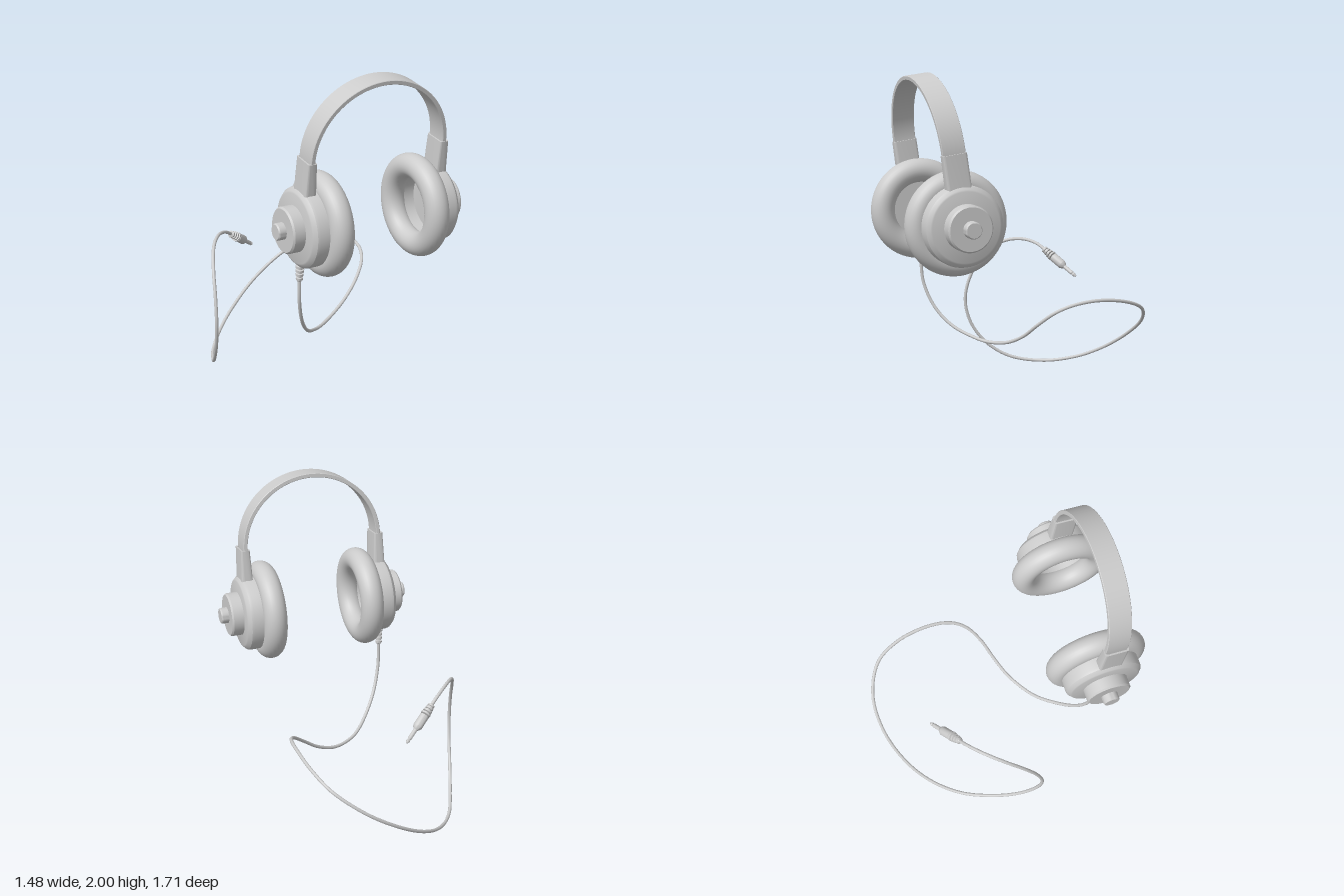
import * as THREE from 'three';
import { toCreasedNormals } from 'three/addons/utils/BufferGeometryUtils.js';

const material = new THREE.MeshStandardMaterial({ color: 0xcccccc });

function part(name, geometry, parent, crease = 0.5) {
  const mesh = new THREE.Mesh(crease ? toCreasedNormals(geometry, crease) : geometry, material);
  mesh.name = name;
  parent.add(mesh);
  return mesh;
}

const lathe = (points, segments = 48) =>
  new THREE.LatheGeometry(points.map(([r, y]) => new THREE.Vector2(r, y)), segments);

function roundedRect(target, w, h, r) {
  const x = w / 2, y = h / 2;
  target.moveTo(-x + r, -y).lineTo(x - r, -y).quadraticCurveTo(x, -y, x, -y + r)
    .lineTo(x, y - r).quadraticCurveTo(x, y, x - r, y)
    .lineTo(-x + r, y).quadraticCurveTo(-x, y, -x, y - r)
    .lineTo(-x, -y + r).quadraticCurveTo(-x, -y, -x + r, -y);
  return target;
}

// One ear cup, its axis pointing outwards along +x
function earCup(name) {
  const cup = new THREE.Group();
  cup.name = name;

  // Shell with a recess on the ear side and a bevelled outer rim
  part('cupShell', lathe([
    [0, 0.43], [0.18, 0.43], [0.18, 0.36], [0.236, 0.36], [0.238, 0.45],
    [0.234, 0.466], [0.215, 0.486], [0.205, 0.49], [0, 0.49],
  ], 64), cup).rotation.z = -Math.PI / 2;
  part('outerDisc', lathe([
    [0, 0.48], [0.136, 0.48], [0.136, 0.555], [0.127, 0.565], [0, 0.565],
  ]), cup).rotation.z = -Math.PI / 2;
  part('knob', lathe([
    [0, 0.55], [0.05, 0.55], [0.05, 0.604], [0.044, 0.612], [0, 0.612],
  ], 32), cup).rotation.z = -Math.PI / 2;

  // Soft ring cushion
  const pad = part('earPad', new THREE.TorusGeometry(0.238, 0.073, 28, 72), cup, 0);
  pad.rotation.y = Math.PI / 2;
  pad.position.x = 0.318;

  // Hollow sleeve that holds the band, flaring slightly towards the cup
  const outline = roundedRect(new THREE.Shape(), 0.056, 0.148, 0.016);
  outline.holes.push(roundedRect(new THREE.Path(), 0.036, 0.128, 0.01));
  const sleeve = new THREE.ExtrudeGeometry(outline, { depth: 0.24, bevelEnabled: false, curveSegments: 6 });
  const p = sleeve.attributes.position;
  for (let i = 0; i < p.count; i++) {
    const t = 1 - p.getZ(i) / 0.24;
    p.setX(i, p.getX(i) * (1 + 0.35 * t));
  }
  sleeve.rotateX(-Math.PI / 2);
  part('bandSleeve', sleeve, cup).position.set(0.436, 0.178, 0);
  return cup;
}

export function createModel() {
  const model = new THREE.Group();
  model.name = 'headphones';

  // Headset, turned and leaning forward
  const headset = new THREE.Group();
  headset.name = 'headset';
  headset.position.set(0.1425, 1.148, 0.46);
  headset.rotation.set(0.132, 0.288, 0, 'YXZ');
  model.add(headset);

  const leftCup = earCup('leftEarCup');
  const rightCup = earCup('rightEarCup');
  rightCup.rotation.y = Math.PI;
  headset.add(leftCup, rightCup);

  // Headband: a flat arch whose ends drop into the sleeves
  const arch = new THREE.Shape();
  arch.moveTo(0.444, 0.3).lineTo(0.444, 0.415)
    .absellipse(0, 0.415, 0.444, 0.433, 0, Math.PI, false, 0)
    .lineTo(-0.444, 0.3).lineTo(-0.424, 0.3).lineTo(-0.424, 0.415)
    .absellipse(0, 0.415, 0.424, 0.413, Math.PI, 0, true, 0)
    .lineTo(0.424, 0.3);
  part('headband', new THREE.ExtrudeGeometry(arch, {
    depth: 0.134, bevelEnabled: true, bevelSize: 0.003, bevelThickness: 0.003,
    bevelSegments: 1, curveSegments: 64,
  }), headset).position.z = -0.067;

  // Ribbed strain relief below the right cup
  const relief = [[0, -0.355], [0.012, -0.355]];
  for (let i = 0; i < 4; i++) {
    const y = -0.345 + i * 0.026, r = 0.021 + i * 0.002;
    relief.push([0.015, y], [r, y + 0.003], [r, y + 0.017], [0.015, y + 0.02]);
  }
  relief.push([0.026, -0.24], [0.026, -0.21]);
  part('strainRelief', lathe(relief, 20), headset).position.x = -0.436;

  // Cable loop
  const path = [
    [-0.288, 0.81, 0.543], [-0.285, 0.65, 0.525], [-0.254, 0.495, 0.455], [-0.2, 0.387, 0.35],
    [-0.13, 0.324, 0.217], [-0.07, 0.308, 0.138], [0.025, 0.324, 0.032], [0.13, 0.385, -0.058],
    [0.222, 0.477, -0.138], [0.285, 0.562, -0.233], [0.3, 0.61, -0.34], [0.265, 0.629, -0.5],
    [0.18, 0.6, -0.684], [0.07, 0.536, -0.806], [-0.12, 0.412, -0.85], [-0.32, 0.27, -0.79],
    [-0.49, 0.138, -0.658], [-0.605, 0.053, -0.5], [-0.685, 0.012, -0.297], [-0.718, 0.042, -0.074],
    [-0.73, 0.138, 0.085], [-0.732, 0.28, 0.19], [-0.732, 0.44, 0.226], [-0.73, 0.6, 0.19],
    [-0.725, 0.73, 0.11], [-0.7, 0.833, -0.02], [-0.65, 0.858, -0.143], [-0.595, 0.838, -0.233],
    [-0.545, 0.797, -0.292],
  ].map((q) => new THREE.Vector3(...q));
  part('cable', new THREE.TubeGeometry(new THREE.CatmullRomCurve3(path), 300, 0.0105, 10), model, 0);

  // Plug: ribbed collar, grip and pin
  const start = new THREE.Vector3(-0.555, 0.805, -0.28);
  const end = new THREE.Vector3(-0.387, 0.649, -0.468);
  const length = start.distanceTo(end);
  const plug = [[0, 0], [0.013, 0]];
  for (let i = 0; i < 4; i++) {
    const y = 0.004 + i * 0.021, r = 0.022 + i * 0.003;
    plug.push([0.016, y], [r, y + 0.003], [r, y + 0.014], [0.016, y + 0.017]);
  }
  plug.push([0.029, 0.09], [0.029, 0.17], [0.022, 0.185], [0.013, 0.195], [0.013, length - 0.035],
    [0.009, length - 0.028], [0.013, length - 0.018], [0.005, length], [0, length]);
  const jack = part('plug', lathe(plug, 24), model);
  jack.position.copy(start);
  jack.quaternion.setFromUnitVectors(new THREE.Vector3(0, 1, 0), end.clone().sub(start).normalize());

  return model;
}
